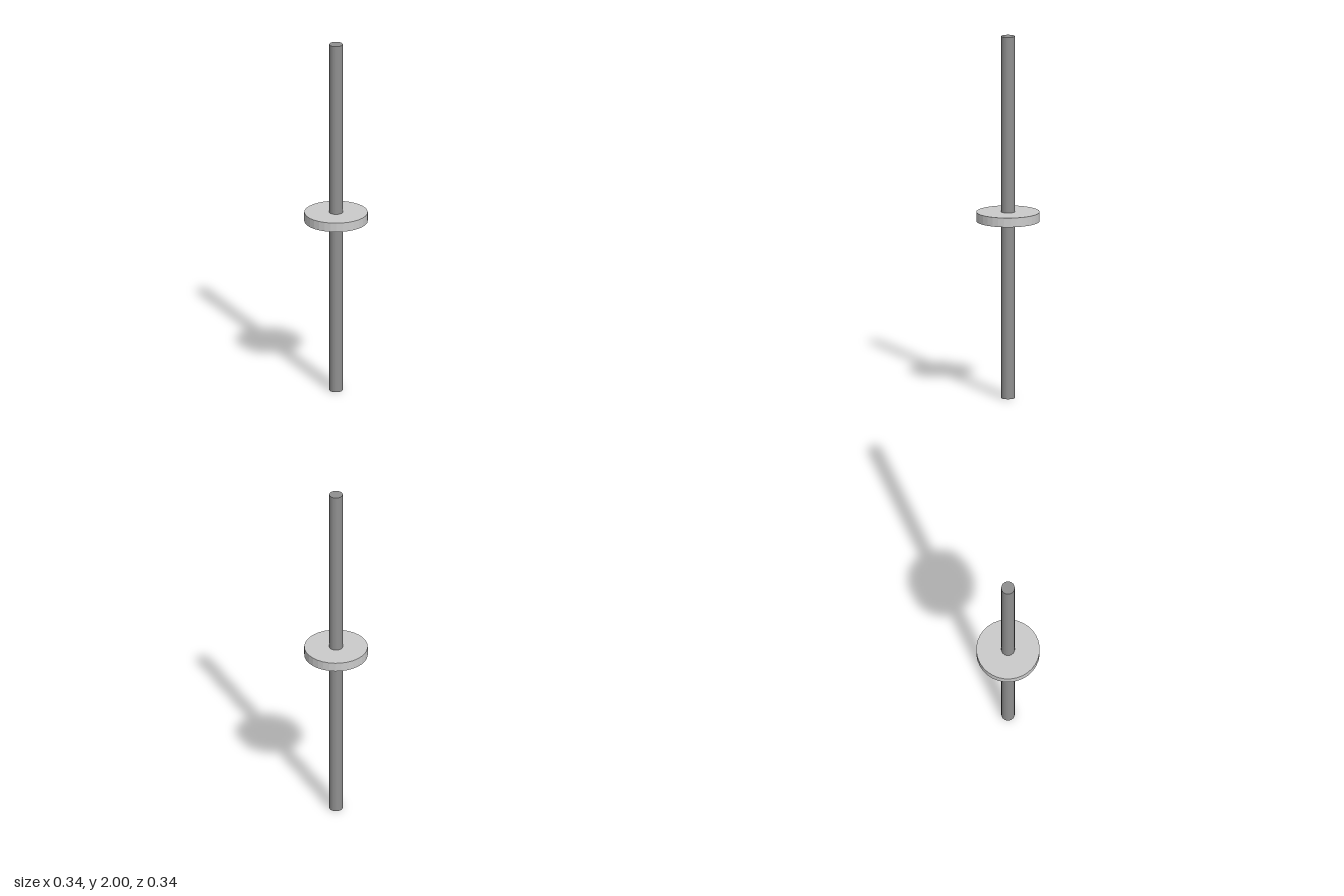
import * as THREE from 'three';

export function createModel() {
  const model = new THREE.Group();

  // Upright cylinder spanning bottom..top
  const addCylinder = (name, radius, bottom, top, color) => {
    const mesh = new THREE.Mesh(
      new THREE.CylinderGeometry(radius, radius, top - bottom, 32),
      new THREE.MeshStandardMaterial({ color, flatShading: true })
    );
    mesh.name = name;
    mesh.position.y = (bottom + top) / 2;
    model.add(mesh);
  };

  // Long slender rod
  addCylinder('rod', 0.037, 0, 2, 0x909090);
  // Flat disc around the middle of the rod
  addCylinder('disc', 0.172, 0.978, 1.029, 0xcccccc);

  return model;
}
